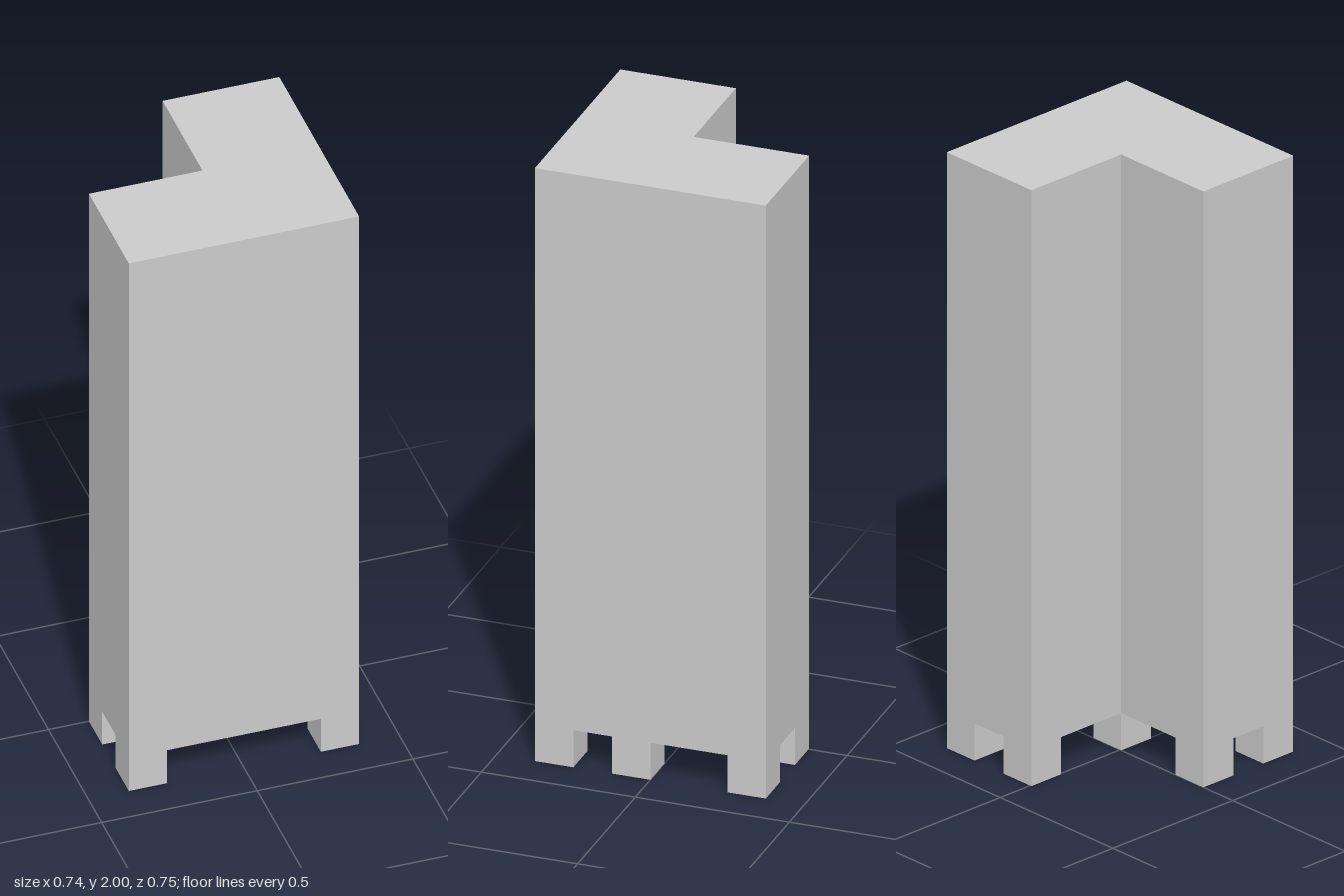
import * as THREE from 'three';

export function createModel() {
  const group = new THREE.Group();
  const material = new THREE.MeshStandardMaterial({ color: 0xcccccc, flatShading: true });
  const W = 0.37, D = 0.375, innerX = -0.005, footH = 0.125, footW = 0.123, footD = 0.125;

  // L-shaped tower, notched at the back right; shape y is -z
  const plan = new THREE.Shape([
    [-W, -D], [W, -D], [W, D], [innerX, D], [innerX, 0], [-W, 0],
  ].map(([x, y]) => new THREE.Vector2(x, y)));
  const bodyGeometry = new THREE.ExtrudeGeometry(plan, { depth: 2 - footH, bevelEnabled: false });
  bodyGeometry.rotateX(-Math.PI / 2).translate(0, footH, 0);
  const body = new THREE.Mesh(bodyGeometry, material);
  body.name = 'body';
  group.add(body);

  // Square feet under the corners, given by their minimum x and z
  const feet = new THREE.Group();
  feet.name = 'feet';
  const footGeometry = new THREE.BoxGeometry(footW, footH, footD);
  const right = -W, left = W - footW, front = D - footD, back = -D;
  const corners = [
    [right, front], [left, front],
    [right, 0], [innerX, 0], [left, 0],
    [innerX, back], [left, back],
  ];
  for (const [x, z] of corners) {
    const foot = new THREE.Mesh(footGeometry, material);
    foot.name = 'foot';
    foot.position.set(x + footW / 2, footH / 2, z + footD / 2);
    feet.add(foot);
  }
  group.add(feet);
  return group;
}
